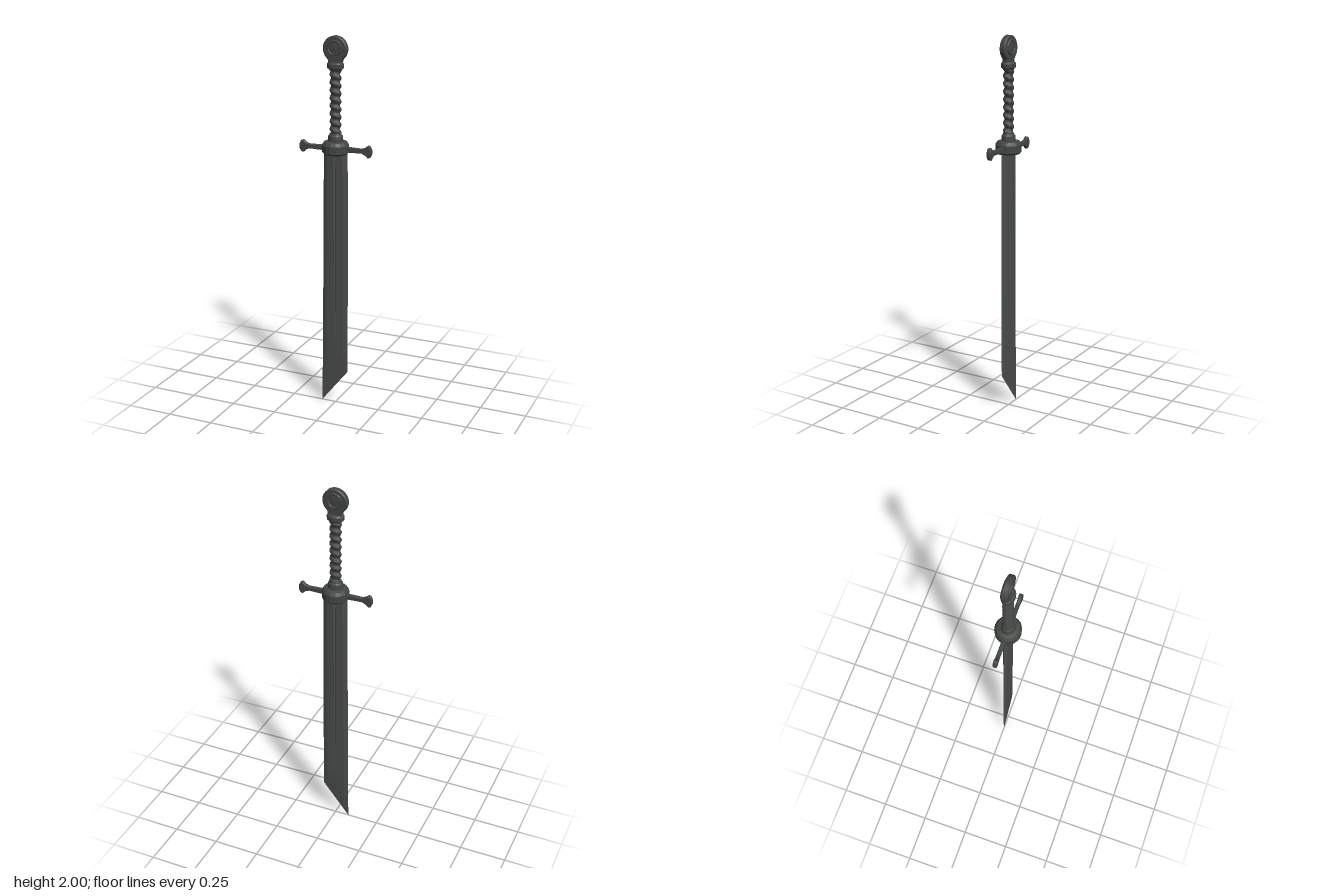
import * as THREE from 'three';

const steel = new THREE.MeshStandardMaterial({ color: 0x4a4e4b, flatShading: true });
steel.name = 'blade steel';
const iron = new THREE.MeshStandardMaterial({ color: 0x434743, flatShading: true });
iron.name = 'dark hilt iron';

function part(name, geometry, material) {
  const mesh = new THREE.Mesh(geometry, material);
  mesh.name = name;
  return mesh;
}

// Turned part from [radius, y] pairs, flattened in z
function turned(name, profile, sides, zScale = 1) {
  const g = new THREE.LatheGeometry(profile.map(([r, y]) => new THREE.Vector2(r, y)), sides);
  g.scale(1, 1, zScale);
  return part(name, g, iron);
}

// Bevelled plate centred on z = 0 with the given half thickness
function plate(name, shape, half, bevel, curveSegments = 12) {
  const g = new THREE.ExtrudeGeometry(shape, {
    depth: 2 * (half - bevel), bevelEnabled: true, bevelThickness: bevel,
    bevelSize: bevel, bevelOffset: -bevel, bevelSegments: 1, curveSegments,
  });
  g.translate(0, 0, -(half - bevel));
  return part(name, g, iron);
}

// Blade lofted downwards; the last row follows the slanted tip
function bladeGeometry() {
  const rows = [ // y, left x, right x, half thickness, groove depth
    [1.43, -0.064, 0.066, 0.018, 0.007],
    [1.28, -0.066, 0.068, 0.014, 0.006],
    [0.8, -0.07, 0.07, 0.011, 0.004],
    [0.28, -0.075, 0.071, 0.008, 0],
    [null, -0.079, 0.071, 0.0005, 0],
  ];
  const pos = [], index = [];
  for (const [y, l, r, t, d] of rows) {
    const front = [
      [l, t * 0.12], [l * 0.68, t * 0.85], [-0.005, t], [0, t - d],
      [0.005, t], [r * 0.68, t * 0.85], [r, t * 0.12],
    ];
    const ring = [...front, ...front.map(([x, z]) => [x, -z]).reverse()];
    for (const [x, z] of ring) {
      pos.push(x, y ?? 0.19 * (x - l) / (r - l), z);
    }
  }
  const n = pos.length / 3 / rows.length;
  for (let i = 0; i < rows.length - 1; i++) {
    for (let j = 0; j < n; j++) {
      const a = i * n + j, b = i * n + (j + 1) % n;
      index.push(a, a + n, b, b, a + n, b + n);
    }
  }
  const g = new THREE.BufferGeometry();
  g.setAttribute('position', new THREE.Float32BufferAttribute(pos, 3));
  g.setIndex(index);
  g.computeVertexNormals();
  return g;
}

// Grip with a spiral wrap
function gripGeometry() {
  const g = new THREE.CylinderGeometry(1, 1, 0.36, 12, 54, true);
  g.translate(0, 1.66, 0);
  const p = g.attributes.position;
  for (let i = 0; i < p.count; i++) {
    const angle = Math.atan2(p.getX(i), p.getZ(i));
    const wave = Math.cos(angle + (p.getY(i) - 1.48) / 0.36 * Math.PI * 18);
    const r = 0.0275 + 0.0045 * wave;
    p.setX(i, p.getX(i) * r);
    p.setZ(i, p.getZ(i) * r * 0.88);
  }
  g.computeVertexNormals();
  return g;
}

// Crossguard arm pointing to +x with a flared end
function armShape() {
  const s = new THREE.Shape();
  s.moveTo(0.04, 1.41);
  s.lineTo(0.145, 1.413);
  s.lineTo(0.165, 1.405);
  s.lineTo(0.18, 1.391);
  s.lineTo(0.192, 1.395);
  s.lineTo(0.2, 1.41);
  s.lineTo(0.2, 1.435);
  s.lineTo(0.192, 1.452);
  s.lineTo(0.18, 1.456);
  s.lineTo(0.165, 1.443);
  s.lineTo(0.145, 1.436);
  s.lineTo(0.04, 1.439);
  s.closePath();
  return s;
}

export function createModel() {
  const sword = new THREE.Group();
  sword.name = 'sword';
  sword.add(part('blade', bladeGeometry(), steel));

  // Guard
  const guard = new THREE.Group();
  guard.name = 'guard';
  guard.add(turned('guardDisc', [
    [0, 1.397], [0.06, 1.397], [0.069, 1.406], [0.07, 1.445],
    [0.06, 1.461], [0.04, 1.465], [0, 1.465],
  ], 16, 0.97));
  for (const turn of [0, Math.PI]) {
    const arm = plate('guardArm', armShape(), 0.01, 0.003);
    arm.rotation.y = turn;
    guard.add(arm);
  }
  sword.add(guard);

  // Grip and its collars
  sword.add(part('grip', gripGeometry(), iron));
  sword.add(turned('lowerCollar', [
    [0, 1.455], [0.038, 1.455], [0.041, 1.468], [0.039, 1.49],
    [0.033, 1.497], [0.03, 1.505], [0, 1.505],
  ], 14, 0.88));
  sword.add(turned('upperCollar', [
    [0, 1.824], [0.032, 1.826], [0.036, 1.834], [0.044, 1.838],
    [0.045, 1.858], [0.038, 1.866], [0, 1.868],
  ], 14, 0.8));

  // Pommel disc with its neck
  const outline = new THREE.Shape();
  outline.moveTo(-0.036, 1.86);
  outline.lineTo(0.036, 1.86);
  outline.lineTo(0.038, 1.88);
  outline.absarc(0, 1.935, 0.065, -0.8, Math.PI + 0.8, false);
  outline.lineTo(-0.038, 1.88);
  outline.closePath();
  const pommel = new THREE.Group();
  pommel.name = 'pommel';
  pommel.add(plate('pommelDisc', outline, 0.016, 0.005, 14));

  // Raised round boss on each face
  for (const side of [1, -1]) {
    const boss = turned('pommelBoss', [
      [0.042, 0.014], [0.038, 0.021], [0.033, 0.021], [0.03, 0.018], [0, 0.021],
    ], 14);
    boss.position.y = 1.94;
    boss.rotation.x = side * Math.PI / 2;
    boss.material = iron;
    pommel.add(boss);
  }
  sword.add(pommel);
  return sword;
}
